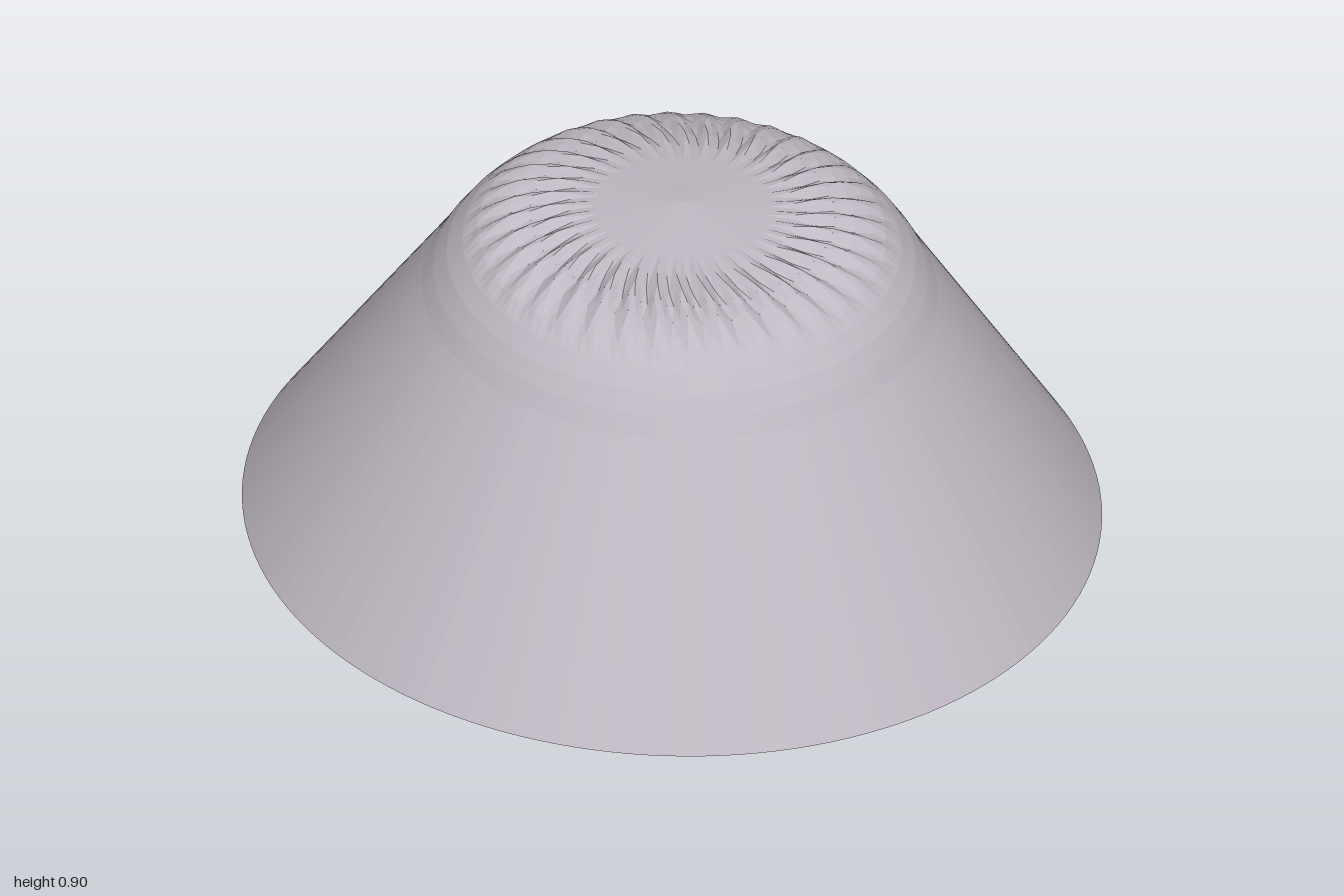
import * as THREE from 'three';

const SEGMENTS = 144;
const FLUTES = 36;

export function createModel() {
  const material = new THREE.MeshStandardMaterial({ color: 0xbfb8c2, flatShading: true });
  material.name = 'pale mauve grey';

  const model = new THREE.Group();
  model.name = 'flaredCap';

  // Everything leans slightly towards +x
  const body = new THREE.Group();
  body.name = 'tiltedBody';
  body.rotation.z = -0.03;
  body.position.y = 0.035;
  model.add(body);

  const lathe = (name, profile) => {
    const points = profile.map(([r, y]) => new THREE.Vector2(r, y));
    const mesh = new THREE.Mesh(new THREE.LatheGeometry(points, SEGMENTS), material);
    mesh.name = name;
    body.add(mesh);
    return mesh;
  };

  // Recess: flat ceiling, small chamfer, near-vertical wall
  lathe('recess', [[0, 0.41], [0.6, 0.41], [0.62, 0.39], [0.63, 0.28], [0.64, 0.18], [0.65, 0.11]]);

  // Rounded lip running out to the flat bottom rim
  lathe('bottomRim', [[0.65, 0.11], [0.69, 0.055], [0.76, 0.015], [0.845, 0], [1, 0]]);

  // Straight conical skirt
  lathe('skirt', [[1, 0], [0.6, 0.62]]);

  // Rounded shoulder
  lathe('shoulder', [[0.6, 0.62], [0.575, 0.665], [0.545, 0.71], [0.51, 0.75]]);

  // Crown with a ring of shallow, slightly swirled flutes
  const crown = lathe('flutedCrown', [
    [0.51, 0.75], [0.475, 0.78], [0.44, 0.8], [0.4, 0.818], [0.355, 0.83],
    [0.31, 0.839], [0.26, 0.845], [0.2, 0.85], [0.1, 0.858], [0, 0.867],
  ]);
  const position = crown.geometry.attributes.position;
  for (let i = 0; i < position.count; i++) {
    const x = position.getX(i), z = position.getZ(i);
    const r = Math.hypot(x, z);
    const t = THREE.MathUtils.clamp((r - 0.22) / 0.29, 0, 1);
    const depth = 0.011 * Math.sin(Math.PI * t);
    const wave = Math.cos(FLUTES * (Math.atan2(z, x) + 0.5 * (r - 0.22)));
    position.setY(i, position.getY(i) + depth * wave);
  }
  crown.geometry.computeVertexNormals();

  return model;
}
